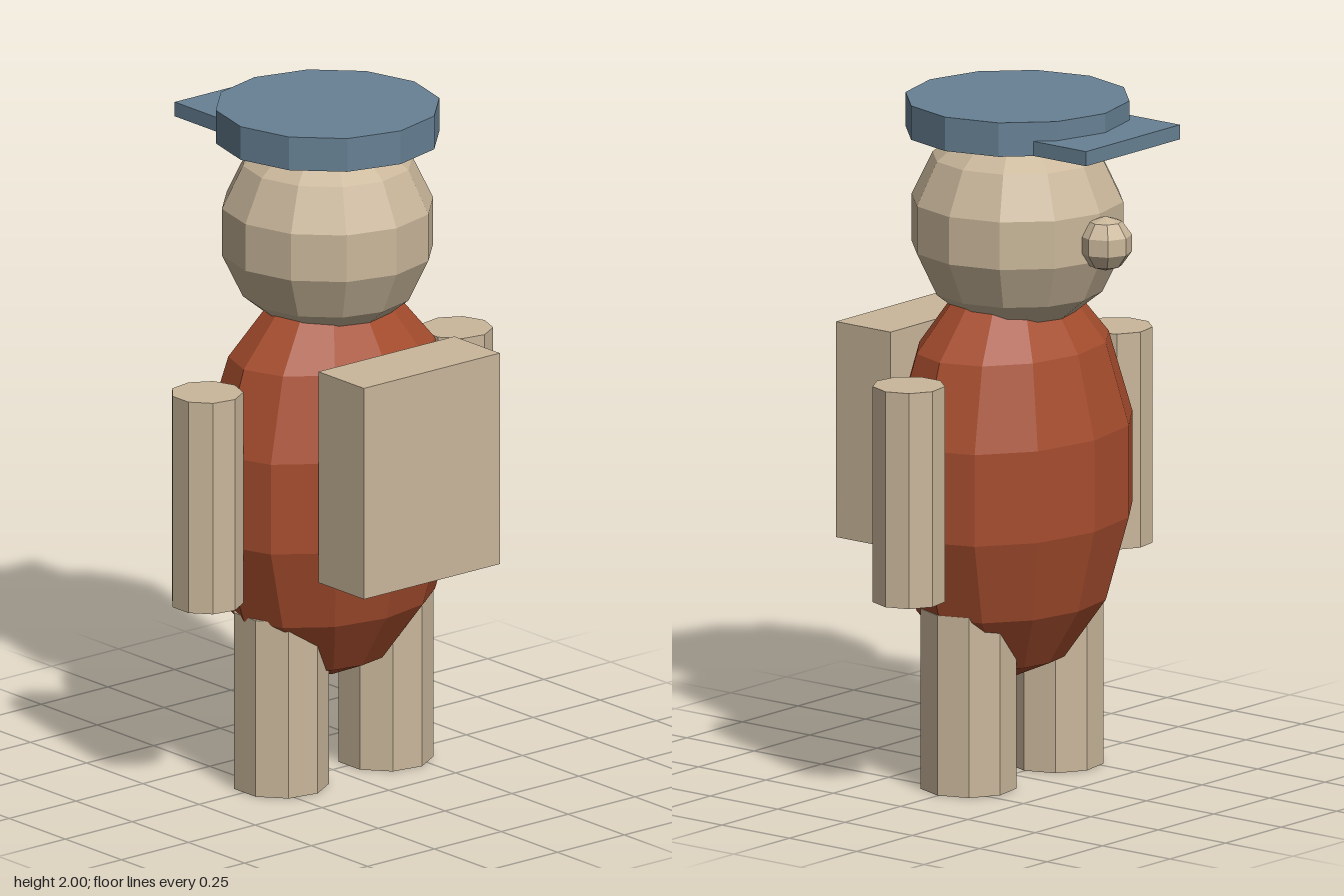
import * as THREE from 'three';

export function createModel() {
  const model = new THREE.Group();
  model.name = 'figure';

  const material = (name, color) => {
    const m = new THREE.MeshStandardMaterial({ color, flatShading: true });
    m.name = name;
    return m;
  };
  const tan = material('tan', 0xcab79b);
  const rust = material('rust', 0xa64d2e);
  const blue = material('slate blue', 0x678194);

  const midX = -0.004; // the arms' odd-sided prisms shift the middle slightly
  const add = (name, geometry, mat, x, y, z) => {
    const mesh = new THREE.Mesh(geometry, mat);
    mesh.name = name;
    mesh.position.set(midX + x, y, z);
    model.add(mesh);
    return mesh;
  };

  // Egg-shaped torso
  add('torso', new THREE.SphereGeometry(1, 12, 7).scale(0.42, 0.607, 0.311), rust, 0, 0.895, 0);

  // Head and nose, looking towards -z
  add('head', new THREE.SphereGeometry(0.315, 12, 7), tan, 0, 1.632, -0.018);
  add('nose', new THREE.SphereGeometry(0.08, 8, 5), tan, 0, 1.618, -0.345);

  // Flat cap with a brim
  add('capCrown', new THREE.CylinderGeometry(0.325, 0.325, 0.1, 12), blue, 0, 1.95, -0.018);
  add('capBrim', new THREE.BoxGeometry(0.422, 0.043, 0.204), blue, 0, 1.922, -0.345);

  // Backpack
  add('backpack', new THREE.BoxGeometry(0.508, 0.635, 0.202), tan, 0, 0.995, 0.345);

  // Arms and legs: nine-sided prisms, all with a corner towards +x
  const limb = (r, h) => new THREE.CylinderGeometry(r, r, h, 9).rotateY(Math.PI / 2);
  for (const [side, s] of [['left', 1], ['right', -1]]) {
    add(side + 'Arm', limb(0.105, 0.635), tan, s * 0.467, 0.917, 0);
    add(side + 'Leg', limb(0.14, 0.53), tan, s * 0.195, 0.265, 0.003);
  }

  return model;
}
